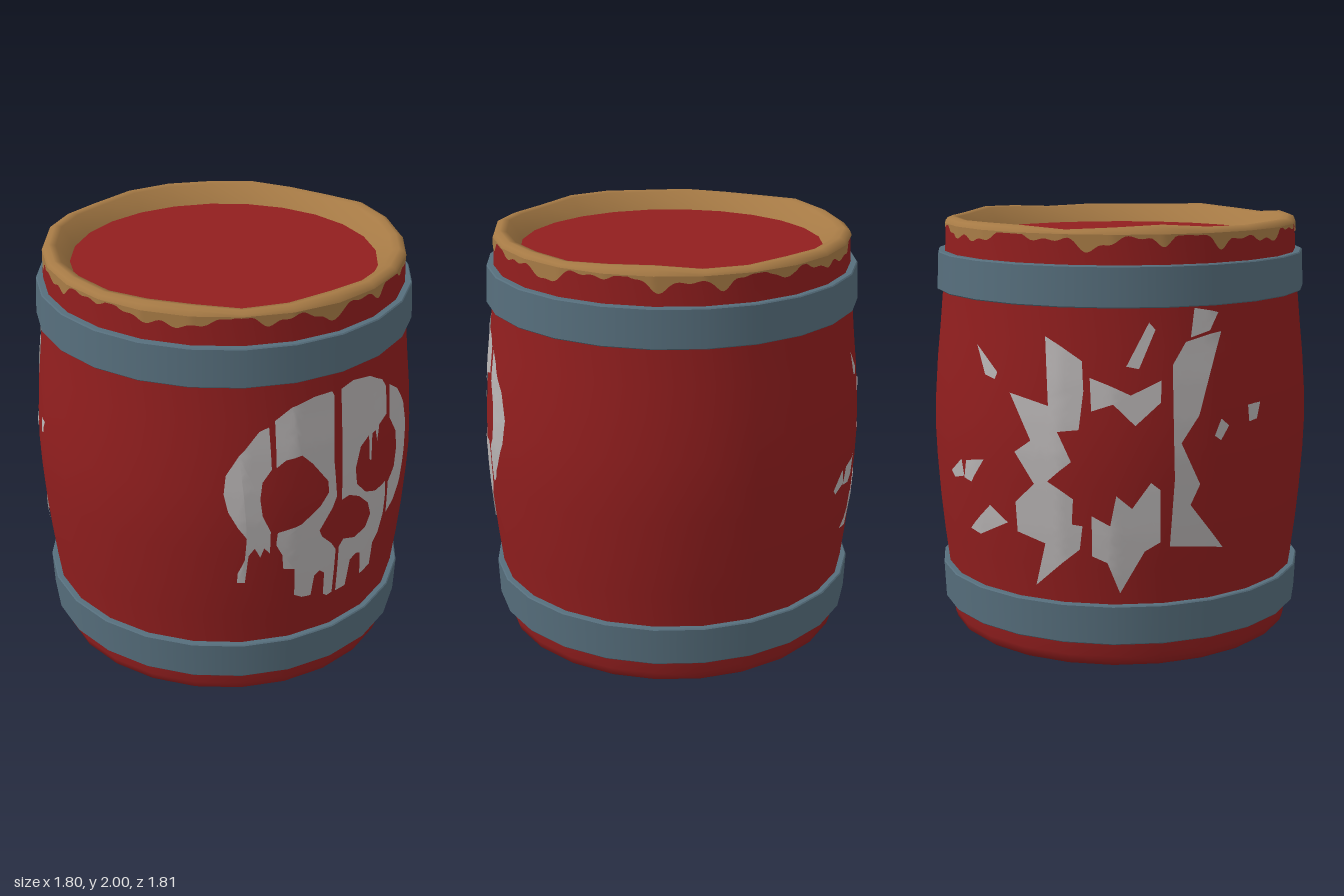
import * as THREE from 'three';
import { mergeVertices } from 'three/addons/utils/BufferGeometryUtils.js';

const SIDES = 24, HALF = Math.PI / SIDES;
const mat = (name, color) => {
  const m = new THREE.MeshStandardMaterial({ color });
  m.name = name;
  return m;
};

// Barrel wall: flat-to-centre radius by height
const WALL = [[0.757, 0], [0.79, 0.006], [0.815, 0.025], [0.826, 0.06], [0.832, 0.13], [0.848, 0.33],
  [0.866, 0.48], [0.882, 0.65], [0.895, 0.85], [0.9, 1], [0.895, 1.15], [0.882, 1.33], [0.866, 1.48],
  [0.85, 1.65], [0.836, 1.83], [0.83, 1.96]];

function wallRadius(y) {
  for (let i = 1; i < WALL.length; i++) {
    const [r0, y0] = WALL[i - 1], [r1, y1] = WALL[i];
    if (y <= y1) return r0 + (r1 - r0) * Math.max(0, (y - y0) / (y1 - y0));
  }
  return WALL[WALL.length - 1][0];
}

// Radius of the many-sided wall at an angle and height
function facetRadius(angle, y) {
  const off = angle - 2 * HALF * Math.round(angle / (2 * HALF));
  return wallRadius(y) / Math.cos(off);
}

function turned(points, sharp = false) {
  const pts = points.map(([r, y]) => new THREE.Vector2(r / Math.cos(HALF), y));
  const profile = sharp ? pts.flatMap((p, i) => (i > 0 && i < pts.length - 1 ? [p, p.clone()] : [p])) : pts;
  return new THREE.LatheGeometry(profile, SIDES, HALF);
}

// Halve long edges so that a flat shape can follow the curved wall
function split(a, b, c, out) {
  const ab = a.distanceTo(b), bc = b.distanceTo(c), ca = c.distanceTo(a);
  const longest = Math.max(ab, bc, ca);
  if (longest < 0.05) { out.push(a.clone(), b.clone(), c.clone()); return; }
  if (bc === longest) [a, b, c] = [b, c, a];
  else if (ca === longest) [a, b, c] = [c, a, b];
  const m = a.clone().add(b).multiplyScalar(0.5);
  split(a, m, c, out);
  split(m, b, c, out);
}

// Lay painted outlines on the wall, facing an azimuth, with an optional downward slant
function paint(outline, grid, azimuth, slant) {
  const shape = new THREE.Shape(outline.map(([x, y]) =>
    new THREE.Vector2((x - grid.x) / grid.sx, (grid.y - y) / grid.sy)));
  const flat = new THREE.ShapeGeometry(shape).toNonIndexed().attributes.position;
  const v = i => new THREE.Vector3().fromBufferAttribute(flat, i);
  const pts = [];
  for (let i = 0; i < flat.count; i += 3) split(v(i), v(i + 1), v(i + 2), pts);
  for (const p of pts) {
    let y = p.y + slant * 0.85, r = 0.9, a = 0;
    for (let k = 0; k < 8; k++) {
      a = Math.asin(THREE.MathUtils.clamp(p.x / r, -1, 1));
      r = facetRadius(a + azimuth, y) + 0.006;
      y = p.y + slant * r * Math.cos(a);
    }
    p.set(r * Math.sin(a), y, r * Math.cos(a));
  }
  const geo = mergeVertices(new THREE.BufferGeometry().setFromPoints(pts), 1e-5);
  geo.computeVertexNormals();
  geo.rotateY(azimuth);
  return geo;
}

// Ragged strip of bare wood below the top rim
function raggedStrip() {
  const n = SIDES * 15, pos = [], index = [];
  for (let i = 0; i <= n; i++) {
    const a = (i / n) * Math.PI * 2;
    const drop = 0.022 + 0.014 * Math.sin(7 * a + 1) + 0.012 * Math.sin(19 * a) + 0.008 * Math.sin(43 * a + 2)
      + 0.03 * Math.max(0, Math.sin(13 * a + 2 * Math.sin(3 * a))) ** 3;
    for (const y of [1.96 - Math.max(0.006, drop), 1.96]) {
      const r = facetRadius(a, y) + 0.004;
      pos.push(r * Math.sin(a), y, r * Math.cos(a));
    }
    if (i < n) {
      const k = i * 2;
      index.push(k, k + 2, k + 1, k + 2, k + 3, k + 1);
    }
  }
  const geo = new THREE.BufferGeometry();
  geo.setAttribute('position', new THREE.Float32BufferAttribute(pos, 3));
  geo.setIndex(index);
  geo.computeVertexNormals();
  return geo;
}

const SKULL = {
  leftCheek: [[195, 139], [187, 142], [170, 162], [160, 180], [158, 197], [161, 214], [168, 229], [175, 240],
    [174, 262], [169, 276], [169, 286], [175, 286], [177, 258], [182, 251], [187, 261], [190, 252], [195, 258],
    [195, 236], [188, 220], [186, 203], [188, 188], [196, 177]],
  leftFace: [[200, 134], [214, 124], [235, 119], [252, 118], [254, 122], [253, 180], [256, 215], [252, 225],
    [240, 245], [243, 252], [253, 262], [258, 270], [258, 317], [253, 319], [249, 316], [248, 292], [243, 288],
    [238, 292], [236, 313], [227, 312], [219, 307], [217, 278], [207, 276], [206, 262], [200, 250], [201, 238],
    [222, 233], [240, 220], [248, 209], [247, 198], [232, 178], [222, 168], [208, 170], [200, 176]],
  rightFace: [[261, 118], [275, 115], [295, 118], [312, 128], [318, 137], [318, 162], [306, 166], [303, 180],
    [301, 169], [297, 171], [296, 195], [294, 195], [293, 171], [283, 178], [277, 196], [279, 212], [290, 224],
    [302, 228], [318, 227], [320, 240], [319, 262], [313, 278], [305, 285], [304, 308], [292, 313], [289, 288],
    [284, 286], [277, 290], [274, 317], [262, 317], [261, 268], [266, 262], [280, 267], [293, 262], [298, 250],
    [294, 237], [282, 225], [270, 219], [261, 220]],
  rightCheek: [[324, 138], [336, 147], [350, 168], [357, 192], [354, 215], [345, 240], [335, 257], [324, 264],
    [323, 230], [332, 220], [335, 203], [333, 185], [323, 168]],
};

const BURST = {
  leftRays: [[648, 654], [672, 670], [673, 688], [670, 711], [656, 712], [665, 730], [649, 741], [666, 752],
    [665, 767], [672, 768], [670, 782], [640, 803], [647, 778], [628, 770], [627, 752], [640, 742], [627, 722],
    [638, 716], [624, 686], [650, 696]],
  lowerRays: [[678, 762], [690, 768], [694, 750], [704, 757], [716, 741], [722, 745], [722, 776], [712, 782],
    [696, 808], [688, 790], [678, 786]],
  upperRay: [[677, 680], [703, 690], [722, 680], [722, 693], [706, 708], [692, 696], [678, 700]],
  rightRays: [[737, 655], [759, 645], [746, 698], [735, 716], [747, 739], [741, 752], [762, 775], [728, 778],
    [731, 738], [729, 670]],
  chipA: [[600, 652], [615, 672], [613, 676], [606, 672]],
  chipB: [[714, 646], [718, 650], [708, 674], [700, 673]],
  chipC: [[577, 725], [586, 720], [588, 731], [580, 730]],
  chipD: [[590, 722], [604, 724], [594, 736], [588, 732]],
  chipE: [[592, 764], [608, 752], [621, 764], [600, 769]],
  chipF: [[760, 698], [765, 701], [760, 711], [756, 709]],
  chipG: [[777, 686], [785, 682], [783, 693], [778, 696]],
  chipH: [[742, 634], [757, 634], [752, 646], [740, 652]],
};

export function createModel() {
  const red = mat('redPaint', 0x911e1e), wood = mat('bareWood', 0xa67a45);
  const steel = mat('blueSteel', 0x566e7c), white = mat('palePaint', 0xb8b4b4);
  white.side = wood.side = THREE.DoubleSide;
  const model = new THREE.Group();
  model.name = 'barrel';
  const add = (name, geo, material, parent = model) => {
    const mesh = new THREE.Mesh(geo, material);
    mesh.name = name;
    parent.add(mesh);
  };

  // Wall and recessed ends
  add('wall', turned(WALL), red);
  add('lid', turned([[0.709, 1.9], [0, 1.9]]), red);
  add('base', turned([[0, 0.07], [0.73, 0.07]]), red);

  // Wooden rims, the top one worn uneven
  const rim = turned([[0.834, 1.96], [0.824, 1.978], [0.8, 1.988], [0.768, 1.982], [0.709, 1.9]]);
  const p = rim.attributes.position;
  for (let i = 0; i < p.count; i++) {
    const a = Math.atan2(p.getX(i), p.getZ(i));
    if (p.getY(i) > 1.97) p.setY(i, p.getY(i) + 0.006 * Math.sin(5 * a) + 0.006 * Math.sin(8 * a + 1));
  }
  add('topRim', rim, wood);
  add('topRimWear', raggedStrip(), wood);
  add('bottomRim', turned([[0.73, 0.07], [0.757, 0]]), wood);

  // Steel hoops
  for (const [name, y0, y1] of [['lowerHoop', 0.13, 0.315], ['upperHoop', 1.65, 1.83]]) {
    const lean = name === 'lowerHoop' ? 0.004 : -0.004;
    add(name, turned([[0.82, y0], [0.867 - lean, y0], [0.872 - lean, y0 + 0.005],
      [0.872 + lean, y1 - 0.005], [0.867 + lean, y1], [0.82, y1]], true), steel);
  }

  // Painted skull on the front, painted burst on the back
  const decals = [
    ['skull', SKULL, { x: 238.5, y: 413.5, sx: 189.5, sy: 189 }, 0, 0],
    ['burst', BURST, { x: 686, y: 804, sx: 146, sy: 132.3 }, Math.PI * (1 + 35 / 180), 0.466],
  ];
  for (const [name, parts, grid, azimuth, slant] of decals) {
    const group = new THREE.Group();
    group.name = name;
    for (const [part, outline] of Object.entries(parts)) add(part, paint(outline, grid, azimuth, slant), white, group);
    model.add(group);
  }
  return model;
}
